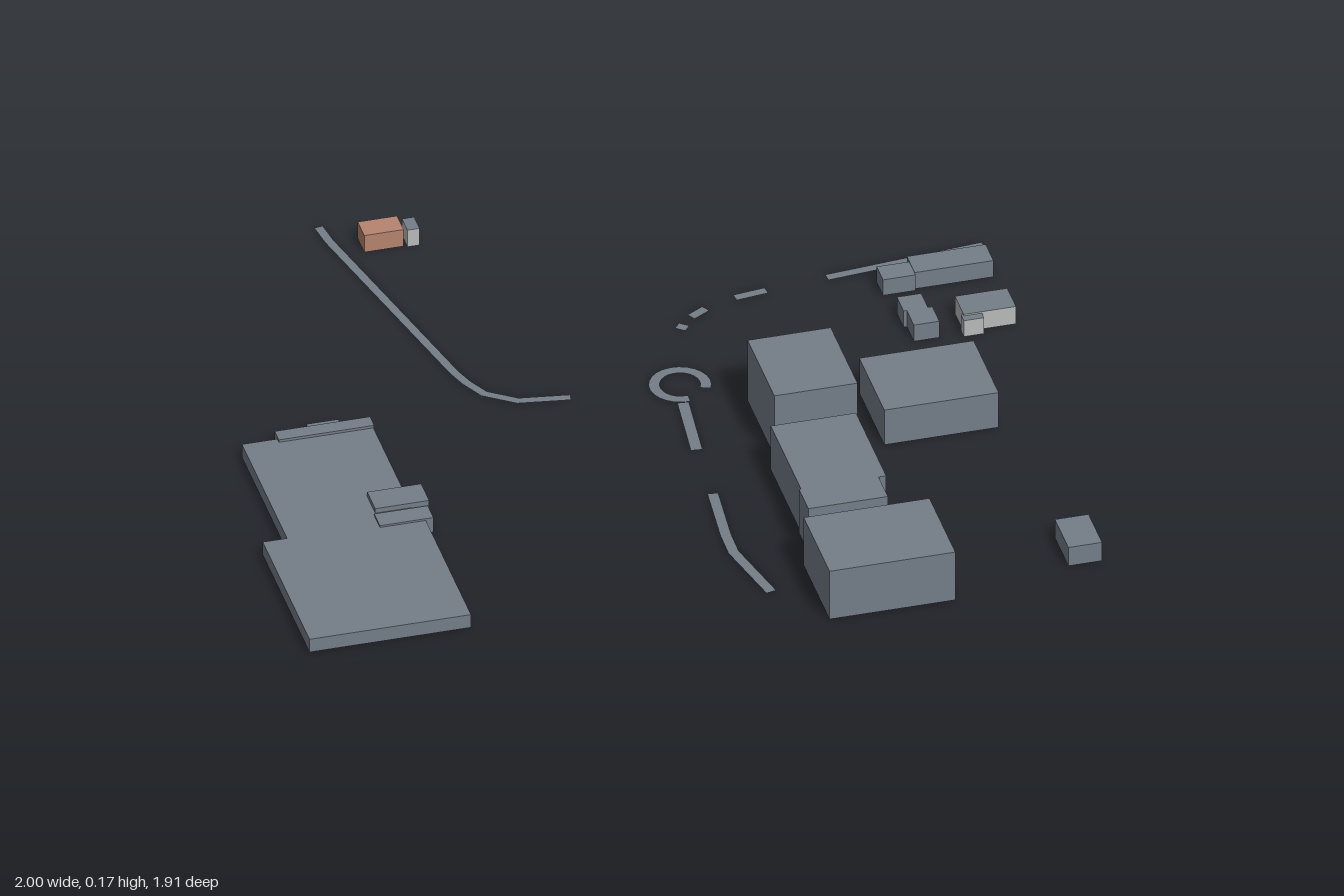
import * as THREE from 'three';

const paint = (name, color) => {
  const m = new THREE.MeshStandardMaterial({ color, side: THREE.DoubleSide });
  m.name = name;
  return m;
};

export function createModel() {
  const slate = paint('slate', 0x747e88);
  const pale = paint('paleGrey', 0xb9bbbc);
  const clay = paint('clay', 0xb5846f);
  const model = new THREE.Group();

  // Hollow block: four walls and a flat roof, open underneath
  function block(name, x0, x1, z0, z1, h, wall = slate, roof = slate) {
    const geo = new THREE.BoxGeometry(x1 - x0, h, z1 - z0);
    const idx = Array.from(geo.index.array);
    const walls = [...idx.slice(0, 12), ...idx.slice(24, 36)];
    geo.setIndex([...walls, ...idx.slice(12, 18)]);
    geo.clearGroups();
    geo.addGroup(0, 24, 0);
    geo.addGroup(24, 6, 1);
    const mesh = new THREE.Mesh(geo, [wall, roof]);
    mesh.position.set((x0 + x1) / 2, h / 2, (z0 + z1) / 2);
    mesh.name = name;
    model.add(mesh);
  }

  // Flat ribbon with mitred joints along a ground path of [x, z] points
  function road(name, path, half = 0.012) {
    const p = path.map(([x, z]) => new THREE.Vector2(x, z));
    const pos = [], idx = [];
    p.forEach((c, i) => {
      const a = c.clone().sub(p[Math.max(i - 1, 0)]).normalize();
      const b = p[Math.min(i + 1, p.length - 1)].clone().sub(c).normalize();
      const t = a.clone().add(b).normalize();
      const along = i > 0 ? a : b;
      const w = half / Math.max(t.dot(along), 0.5);
      pos.push(c.x - t.y * w, 0.002, c.y + t.x * w, c.x + t.y * w, 0.002, c.y - t.x * w);
      if (i) {
        const k = 2 * i - 2;
        idx.push(k, k + 2, k + 1, k + 1, k + 2, k + 3);
      }
    });
    const geo = new THREE.BufferGeometry();
    geo.setAttribute('position', new THREE.Float32BufferAttribute(pos, 3));
    geo.setIndex(idx);
    geo.computeVertexNormals();
    const mesh = new THREE.Mesh(geo, slate);
    mesh.name = name;
    model.add(mesh);
  }

  // Large low hall with its annexes
  block('hallRear', -0.94, -0.62, -0.07, 0.34, 0.037);
  block('hallFront', -1, -0.602, 0.34, 0.765, 0.037);
  block('hallRearAnnex', -0.853, -0.618, -0.093, -0.055, 0.044);
  block('hallRearPorch', -0.767, -0.688, -0.122, -0.093, 0.03);
  block('hallSideAnnex', -0.71, -0.577, 0.22, 0.293, 0.05);
  block('hallSidePorch', -0.715, -0.583, 0.302, 0.354, 0.042);

  // Tall blocks
  block('towerBlock', 0.283, 0.488, 0.015, 0.258, 0.174);
  block('wideBlock', 0.548, 0.83, 0.053, 0.28, 0.1);
  block('middleBlock', 0.26, 0.47, 0.31, 0.585, 0.126);
  block('middleBlockEnd', 0.255, 0.451, 0.585, 0.67, 0.126);
  block('frontBlock', 0.23, 0.54, 0.72, 0.955, 0.138);
  block('cornerHut', 0.837, 0.92, 0.764, 0.887, 0.053);

  // Small houses at the back
  block('longHouse', 0.79, 0.984, -0.406, -0.335, 0.047);
  block('longHouseAnnex', 0.71, 0.79, -0.386, -0.328, 0.045);
  block('hutRear', 0.722, 0.782, -0.247, -0.186, 0.047);
  block('hutFront', 0.73, 0.793, -0.186, -0.122, 0.047);
  block('paleHouse', 0.855, 0.984, -0.21, -0.13, 0.05, pale);
  block('paleHousePorch', 0.85, 0.9, -0.138, -0.11, 0.046, pale);
  block('clayHouse', -0.433, -0.336, -0.887, -0.827, 0.048, clay, clay);
  block('paleShed', -0.328, -0.298, -0.872, -0.822, 0.048, pale);

  // Roads and paths
  road('westRoad', [[-0.511, -0.956], [-0.502, -0.89], [-0.36, -0.28], [-0.343, -0.23],
    [-0.315, -0.175], [-0.245, -0.125], [-0.12, -0.106]], 0.011);
  road('dashOne', [[0.203, -0.331], [0.224, -0.314]]);
  road('dashTwo', [[0.245, -0.358], [0.288, -0.383]]);
  road('dashThree', [[0.367, -0.409], [0.447, -0.419]]);
  road('eastRoad', [[0.6, -0.434], [0.995, -0.469]]);
  road('stemRoad', [[0.132, -0.015], [0.111, 0.187]], 0.014);
  road('southRoad', [[0.1, 0.373], [0.084, 0.55], [0.083, 0.625], [0.126, 0.81]], 0.013);

  // Turning circle, open at its front right
  const ring = [];
  for (let i = 0; i <= 20; i++) {
    const a = Math.PI * (0.47 + (1.69 * i) / 20);
    ring.push([0.145 + 0.062 * Math.cos(a), -0.09 + 0.062 * Math.sin(a)]);
  }
  road('turningCircle', ring, 0.013);

  return model;
}
